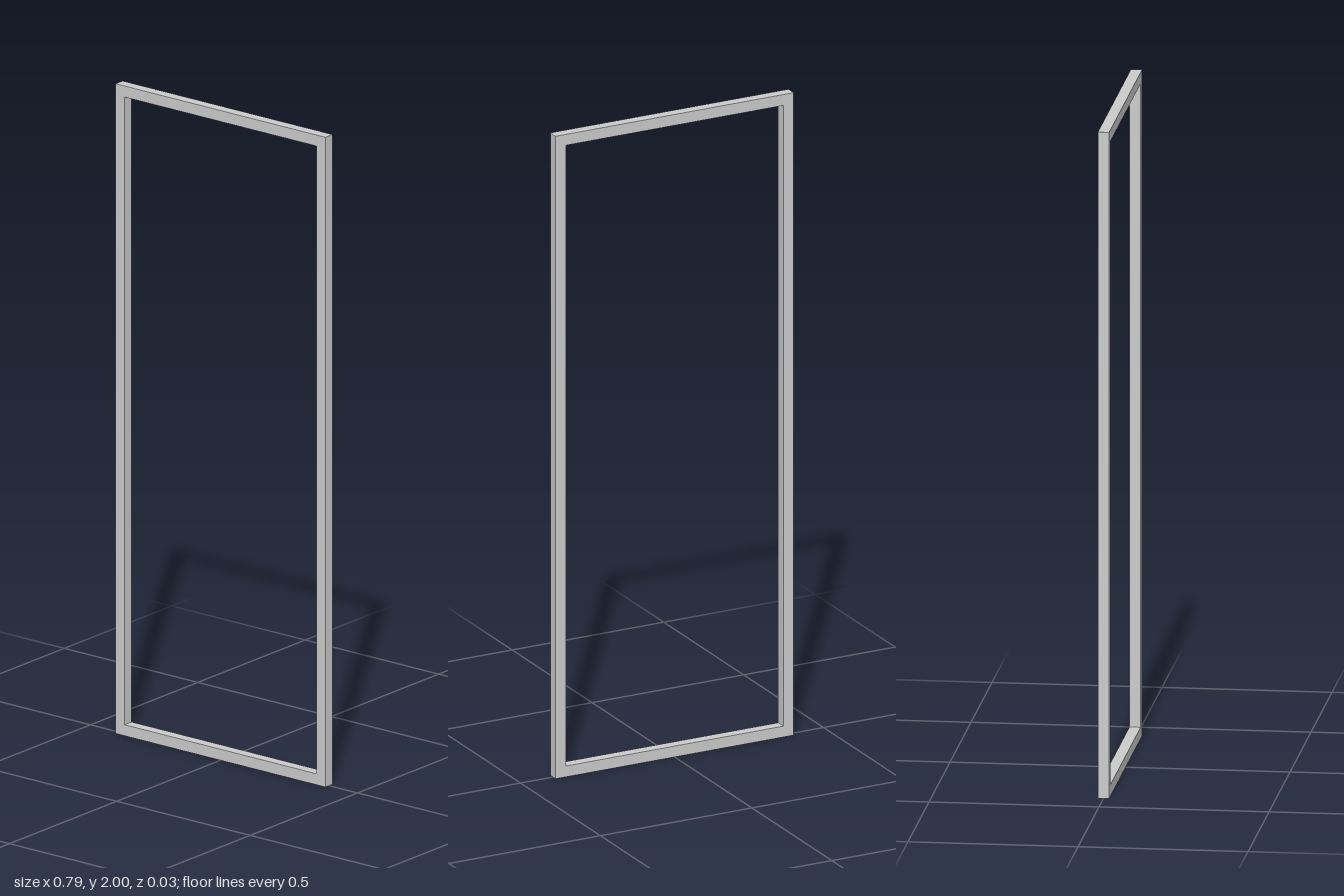
import * as THREE from 'three';

const WIDTH = 0.786, HEIGHT = 2, DEPTH = 0.033, BORDER = 0.034;

// Corners of a rectangle centred on x = 0, inset from the outer outline
function rectangle(inset) {
  const x = WIDTH / 2 - inset, top = HEIGHT - inset;
  return [[-x, inset], [x, inset], [x, top], [-x, top]].map(([px, py]) => new THREE.Vector2(px, py));
}

export function createModel() {
  const group = new THREE.Group();
  group.name = 'rectangularFrame';

  // Frame: outer outline with the opening cut through it
  const outline = new THREE.Shape(rectangle(0));
  outline.holes.push(new THREE.Path(rectangle(BORDER).reverse()));
  const geometry = new THREE.ExtrudeGeometry(outline, { depth: DEPTH, bevelEnabled: false });
  geometry.translate(0, 0, -DEPTH / 2);

  const frame = new THREE.Mesh(geometry, new THREE.MeshStandardMaterial({ color: 0xcccccc }));
  frame.name = 'frame';
  group.add(frame);
  return group;
}
